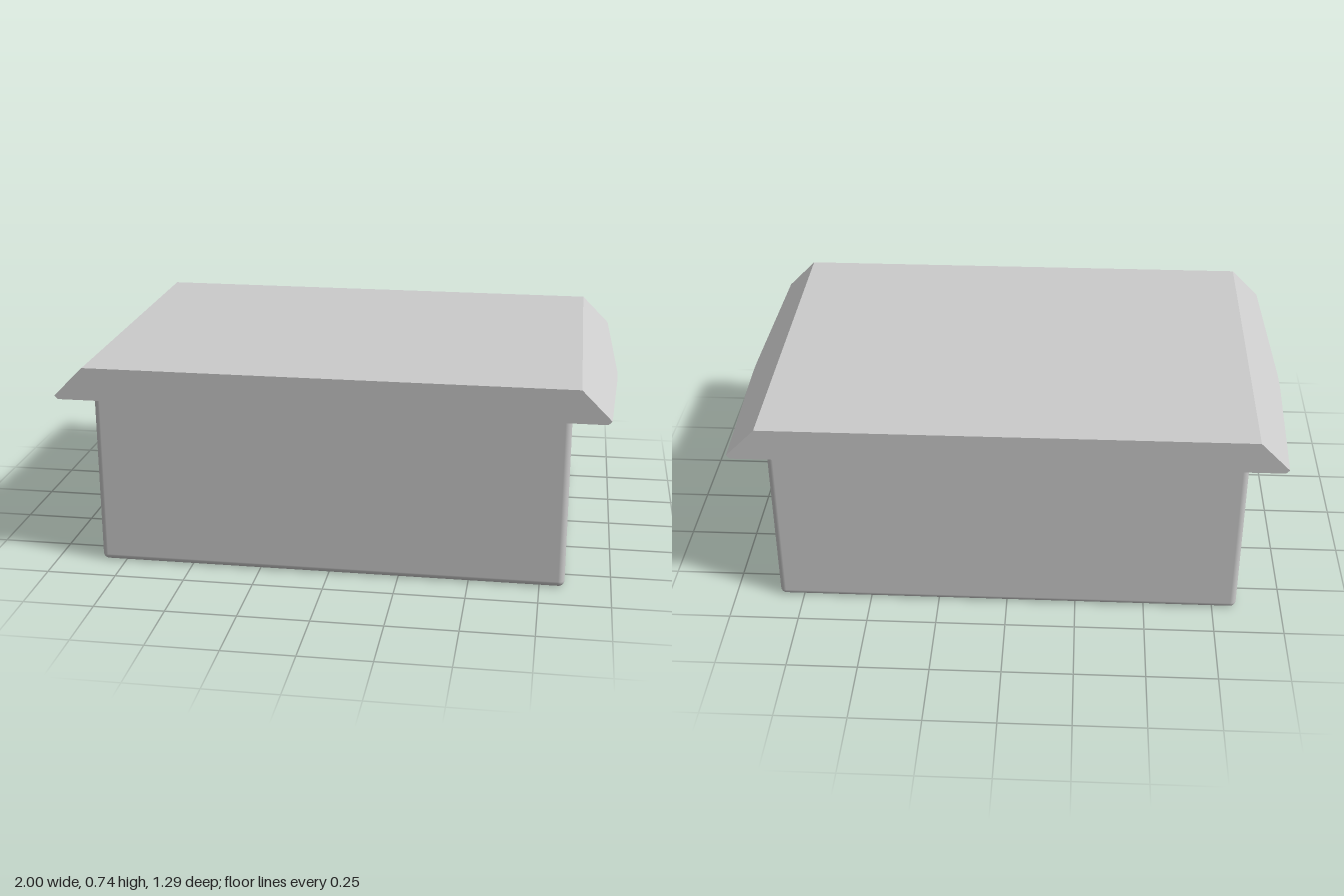
import * as THREE from 'three';
import { RoundedBoxGeometry } from 'three/addons/geometries/RoundedBoxGeometry.js';

const UNDER = 0.62; // height of the lid's underside
const TOP = 0.738;

// Cross-section of the lid, counterclockwise seen from the front.
// drop is how far the sloping flaps hang below the underside.
function lidSection(drop) {
  const half = [
    [0.957, UNDER],
    [0.957 + drop, UNDER - drop],
    [0.97 + drop, UNDER + 0.013 - drop],
    [0.865, TOP],
  ];
  return [...half, ...half.map(([x, y]) => [-x, y]).reverse()];
}

// Lid lofted through sections along z, deepest flaps in the middle
function lidGeometry() {
  const stations = [[-0.645, 0], [-0.04, 0.03], [0.04, 0.03], [0.645, 0]];
  const rings = stations.map(([z, drop]) =>
    lidSection(drop).map(([x, y]) => new THREE.Vector3(x, y, z)));
  const points = [];
  const n = rings[0].length;
  for (let s = 0; s < rings.length - 1; s++) {
    for (let i = 0; i < n; i++) {
      const j = (i + 1) % n;
      const a = rings[s][i], b = rings[s][j], c = rings[s + 1][j], d = rings[s + 1][i];
      points.push(a, b, c, a, c, d);
    }
  }
  // End caps
  const back = rings[0], front = rings[rings.length - 1];
  for (let i = 1; i < n - 1; i++) {
    points.push(front[0], front[i], front[i + 1]);
    points.push(back[0], back[i + 1], back[i]);
  }
  const geometry = new THREE.BufferGeometry().setFromPoints(points);
  geometry.computeVertexNormals();
  return geometry;
}

export function createModel() {
  const model = new THREE.Group();
  model.name = 'liddedBox';
  const grey = new THREE.MeshStandardMaterial({ color: 0xcccccc });

  // Box with softly rounded edges, its top tucked inside the lid
  const height = 0.66;
  const body = new THREE.Mesh(new RoundedBoxGeometry(1.676, height, 1.236, 4, 0.022), grey);
  body.name = 'body';
  body.position.y = height / 2;
  model.add(body);

  // Overhanging lid with sloping side flaps
  const lid = new THREE.Mesh(lidGeometry(), grey);
  lid.name = 'lid';
  model.add(lid);

  return model;
}
